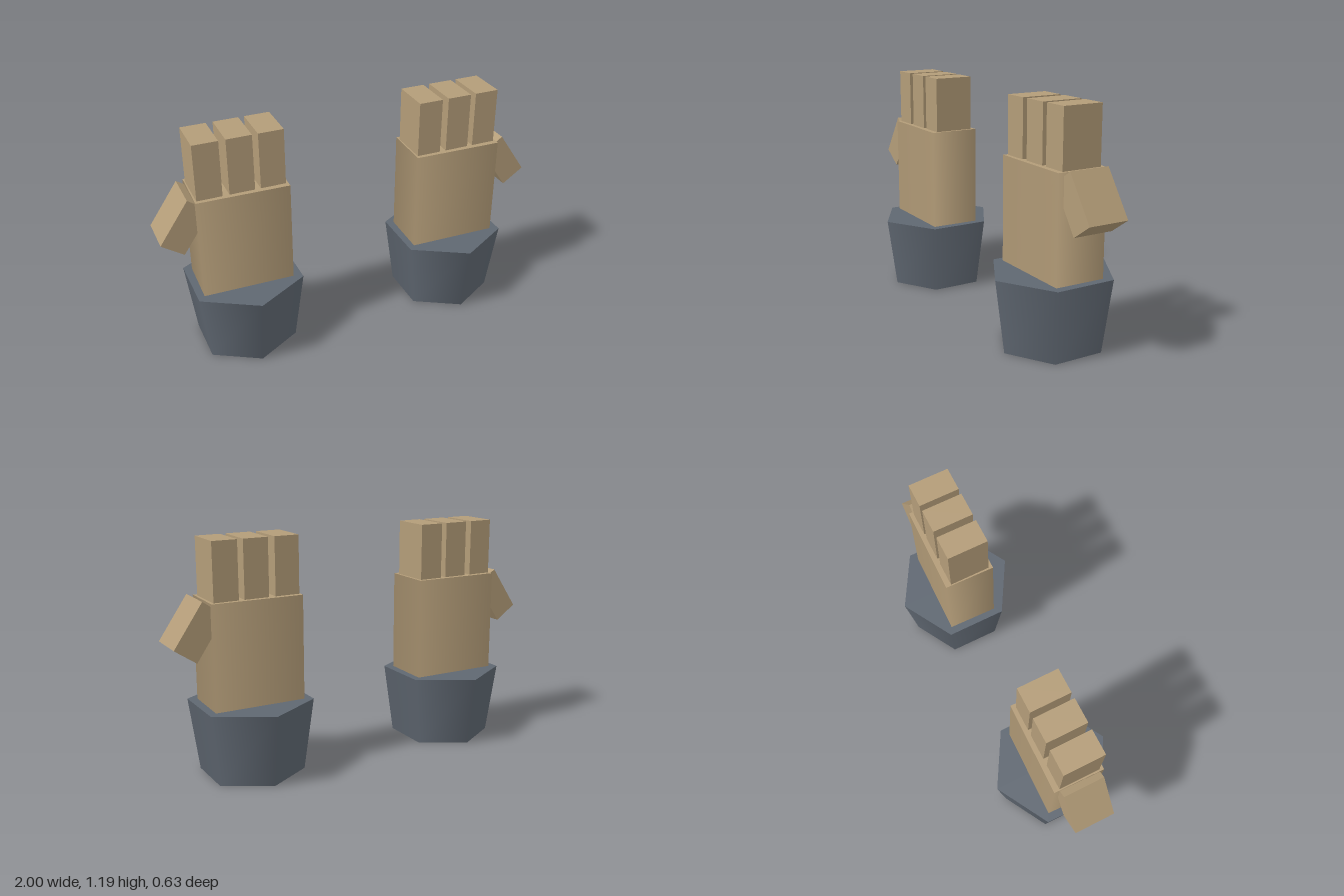
import * as THREE from 'three';

const skin = new THREE.MeshStandardMaterial({ color: 0xb39c78 });
skin.name = 'tan skin';
const cloth = new THREE.MeshStandardMaterial({ color: 0x5f6771 });
cloth.name = 'slate cuff';

function addPart(parent, name, geometry, material, x, y, z = 0) {
  const mesh = new THREE.Mesh(geometry, material);
  mesh.name = name;
  mesh.position.set(x, y, z);
  parent.add(mesh);
  return mesh;
}

// One upright hand; side is +1 for the left, -1 for the right
function createHand(side) {
  const hand = new THREE.Group();
  hand.name = side > 0 ? 'leftHand' : 'rightHand';
  hand.position.x = side * 0.58;

  // Flared six-sided cuff
  addPart(hand, 'cuff', new THREE.CylinderGeometry(0.315, 0.264, 0.37, 6), cloth, 0, 0.185);

  // Palm: smooth-shaded four-sided prism, turned very slightly
  const palmGeometry = new THREE.CylinderGeometry(Math.SQRT1_2, Math.SQRT1_2, 0.54, 4);
  palmGeometry.rotateY(Math.PI / 4);
  palmGeometry.scale(0.466, 1, 0.26);
  const palm = addPart(hand, 'palm', palmGeometry, skin, -0.002, 0.628);
  palm.rotation.y = -0.02;

  // Three blocky fingers
  for (const x of [-0.161, 0, 0.156]) {
    addPart(hand, 'finger', new THREE.BoxGeometry(0.127, 0.295, 0.21), skin, x - 0.003, 1.0395);
  }

  // Thumb leaning out from the outer side
  const thumb = addPart(hand, 'thumb', new THREE.BoxGeometry(0.133, 0.26, 0.21), skin, side * 0.29, 0.766);
  thumb.rotation.z = side * 0.6;
  return hand;
}

export function createModel() {
  const model = new THREE.Group();
  model.name = 'pairOfHands';
  model.add(createHand(1), createHand(-1));
  return model;
}
